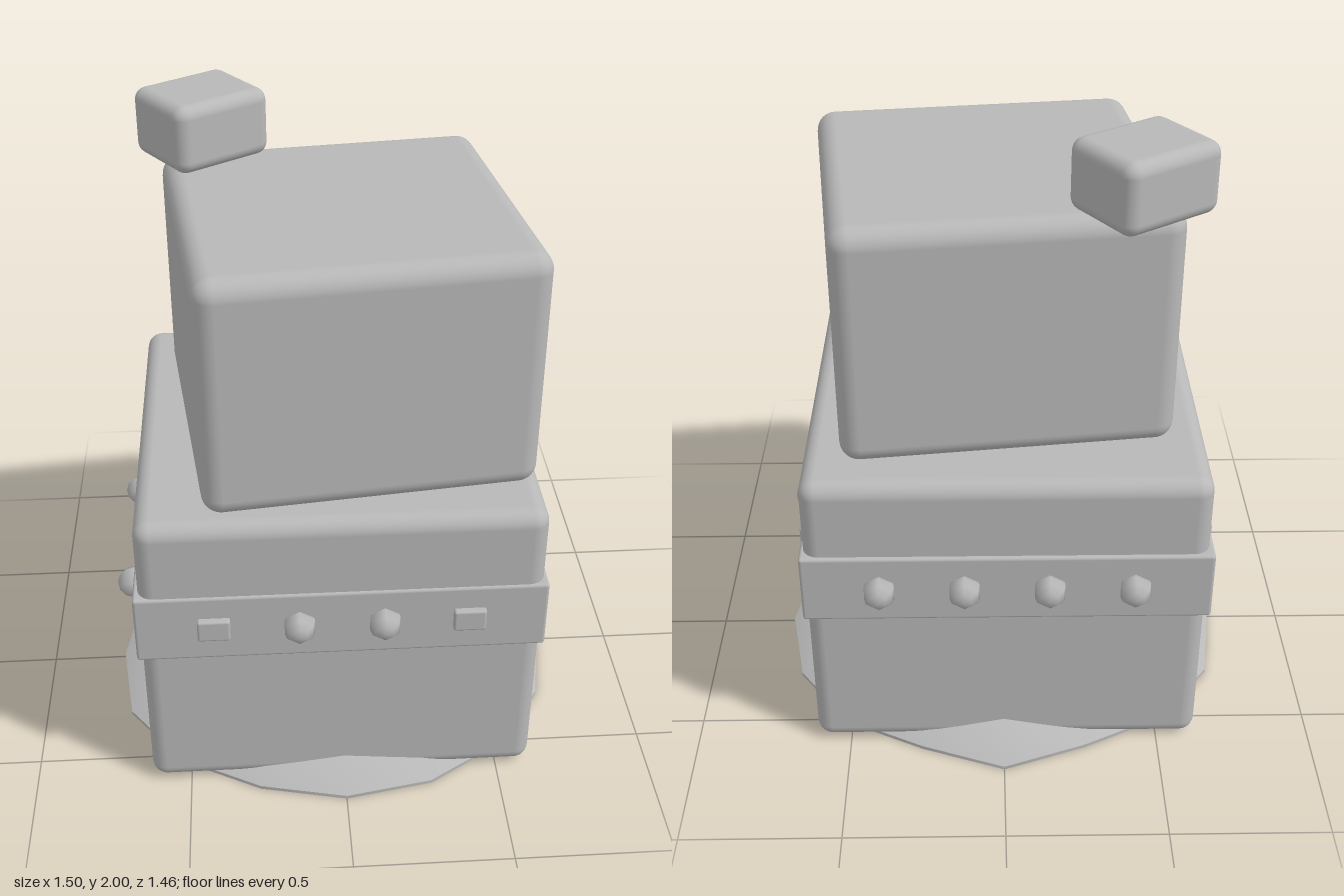
import * as THREE from 'three';
import { toCreasedNormals } from 'three/addons/utils/BufferGeometryUtils.js';
import { RoundedBoxGeometry } from 'three/addons/geometries/RoundedBoxGeometry.js';

const stone = new THREE.MeshStandardMaterial({ color: 0xb8b8b8 });
stone.name = 'grey stone';

function add(parent, name, geometry, x = 0, y = 0, z = 0, turn = 0) {
  const mesh = new THREE.Mesh(geometry, stone);
  mesh.name = name;
  mesh.position.set(x, y, z);
  mesh.rotation.y = turn;
  parent.add(mesh);
  return mesh;
}

const block = (w, h, d, r) => new RoundedBoxGeometry(w, h, d, 4, r);

// Low irregular mound: a lathe whose radius varies around the rim
function moundGeometry() {
  const radii = [0.725, 0.73, 0.74, 0.75, 0.75, 0.75, 0.73, 0.69,
    0.73, 0.69, 0.73, 0.76, 0.75, 0.77, 0.75, 0.72];
  const n = radii.length;
  const profile = [[0, 0], [1, 0], [1, 0.012], [0.82, 0.09], [0.5, 0.1], [0, 0.1]]
    .map(([r, y]) => new THREE.Vector2(r, y));
  const geometry = new THREE.LatheGeometry(profile, n);
  const p = geometry.attributes.position;
  for (let i = 0; i < p.count; i++) {
    const step = Math.round(Math.atan2(p.getX(i), p.getZ(i)) / (2 * Math.PI) * n);
    const r = radii[(step + n) % n];
    p.setX(i, p.getX(i) * r);
    p.setZ(i, p.getZ(i) * r);
  }
  return toCreasedNormals(geometry, 0.7);
}

export function createModel() {
  const model = new THREE.Group();
  model.name = 'stackedBlocks';

  add(model, 'mound', moundGeometry());
  add(model, 'lowerBlock', block(1.235, 1.01, 1.21, 0.05), -0.008, 0.515, 0.008);
  add(model, 'upperBlock', block(1.017, 0.765, 0.966, 0.06), 0.035, 1.4025, 0.043, 0.118);
  add(model, 'topBlock', block(0.336, 0.215, 0.28, 0.04), -0.39, 1.8925, -0.35, 0.594);
  add(model, 'band', block(1.26, 0.235, 1.23, 0.01), -0.01, 0.6475, 0.005);

  // Ornaments on the band: round studs, wide plates and tall plates
  const studGeometry = new THREE.SphereGeometry(0.053, 6, 6).rotateX(Math.PI / 2);
  const ornaments = {
    stud: [studGeometry, 0.01],
    widePlate: [block(0.1, 0.075, 0.03, 0.008), 0.005],
    tallPlate: [block(0.055, 0.14, 0.03, 0.008), 0.005],
  };

  // Each side lists its ornaments from left to right as seen from outside
  const sides = [
    ['front', 0, 0.62, ['widePlate', 'stud', 'stud', 'widePlate'], [-0.4, -0.14, 0.12, 0.38]],
    ['left', Math.PI / 2, 0.62, ['widePlate', 'tallPlate', 'stud', 'tallPlate'], [-0.385, -0.135, 0.115, 0.37]],
    ['back', Math.PI, 0.615, ['stud', 'stud', 'stud', 'stud'], [-0.38, -0.12, 0.14, 0.4]],
    ['right', -Math.PI / 2, 0.64, ['tallPlate', 'stud', 'tallPlate', 'stud'], [-0.37, -0.12, 0.13, 0.38]],
  ];
  for (const [name, turn, distance, kinds, offsets] of sides) {
    const side = new THREE.Group();
    side.name = name + 'Ornaments';
    side.rotation.y = turn;
    kinds.forEach((kind, i) => {
      const [geometry, lift] = ornaments[kind];
      const part = add(side, kind, geometry, offsets[i], 0.65, distance + lift);
      if (kind === 'stud') part.rotation.z = Math.PI / 6;
    });
    model.add(side);
  }
  return model;
}
